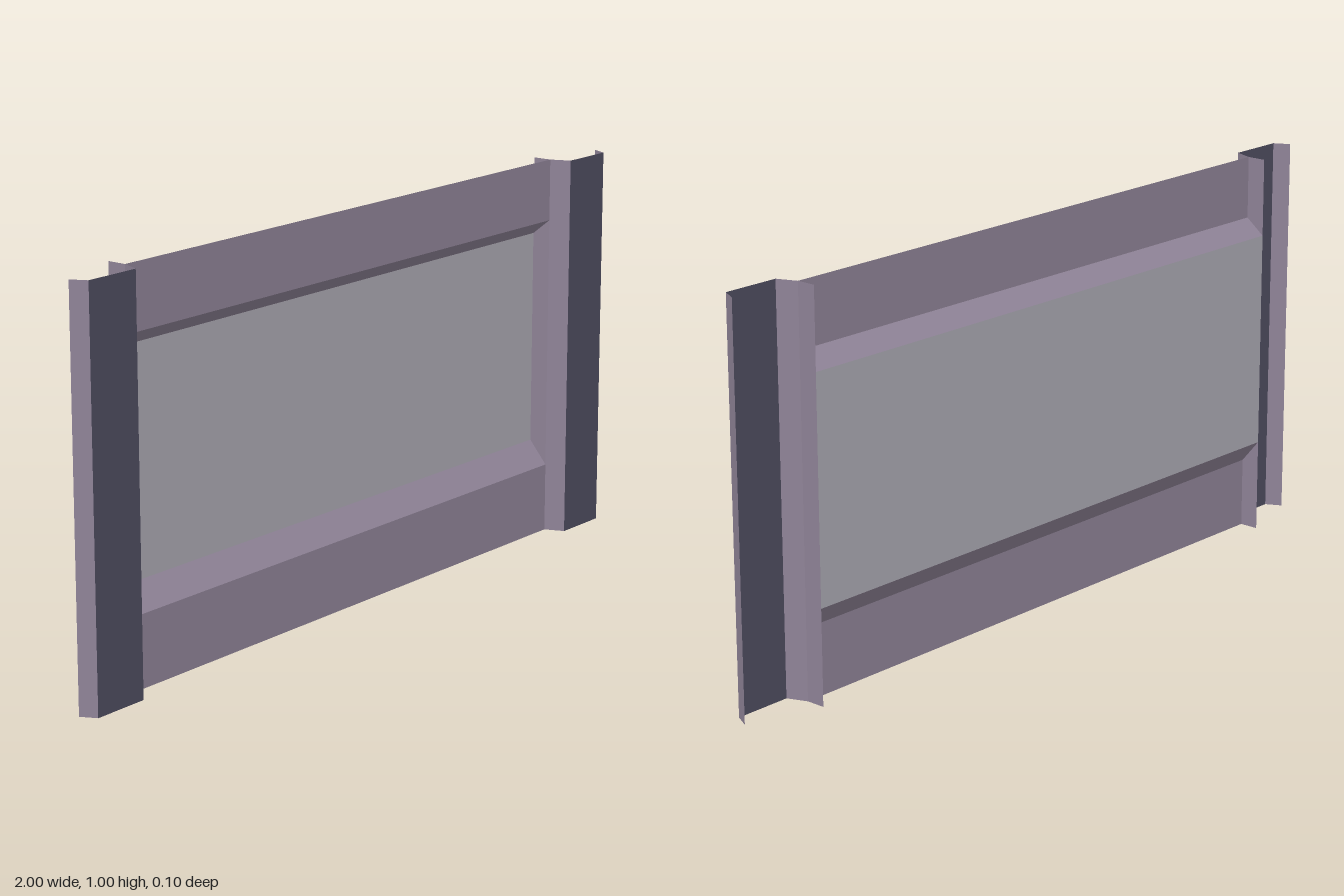
import * as THREE from 'three';

const mat = (name, color) => {
  const m = new THREE.MeshStandardMaterial({ color, side: THREE.DoubleSide });
  m.name = name;
  return m;
};

// Folded sheet: sweeps a polyline of [x, y, z] points along an offset vector, with sharp folds
function foldedSheet(name, points, offset, material) {
  const pos = [];
  for (let i = 0; i < points.length - 1; i++) {
    const a = points[i], b = points[i + 1];
    const c = b.map((v, k) => v + offset[k]);
    const d = a.map((v, k) => v + offset[k]);
    pos.push(...a, ...b, ...c, ...a, ...c, ...d);
  }
  const geo = new THREE.BufferGeometry();
  geo.setAttribute('position', new THREE.Float32BufferAttribute(pos, 3));
  geo.computeVertexNormals();
  const mesh = new THREE.Mesh(geo, material);
  mesh.name = name;
  return mesh;
}

export function createModel() {
  const metal = mat('mauve metal', 0x8f8397);
  const glass = mat('grey glass', 0xaba9b2);
  const dark = mat('dark slate', 0x4f4d60);

  const halfWidth = 0.81, depth = 0.05;
  const group = new THREE.Group();
  group.name = 'windowWall';

  // Wall bands above and below the window, each folding back to the glass
  const across = [2 * halfWidth, 0, 0];
  const bands = {
    lowerWall: [[1e-4, 0], [0.18, 0], [0.24, -depth]],
    upperWall: [[0.8, -depth], [0.84, 0], [1, 0]],
  };
  for (const [name, profile] of Object.entries(bands)) {
    const points = profile.map(([y, z]) => [-halfWidth, y, z]).reverse();
    group.add(foldedSheet(name, points, across, metal));
  }

  // Recessed pane
  group.add(foldedSheet('windowPane',
    [[-halfWidth, 0.8, -depth], [-halfWidth, 0.24, -depth]], across, glass));

  // Side pillars: dark face, splayed sides and a fin running behind the wall
  const up = [0, 1, 0];
  for (const [side, s] of [['left', 1], ['right', -1]]) {
    const pillar = new THREE.Group();
    pillar.name = side + 'Pillar';
    const sheet = (name, profile, material) => {
      const points = profile.map(([x, z]) => [s * x, 0, z]);
      if (s < 0) points.reverse();
      pillar.add(foldedSheet(name, points, up, material));
    };
    sheet('innerFlange', [[halfWidth, -depth], [halfWidth, 0], [0.83, depth]], metal);
    sheet('pillarFace', [[0.83, depth], [0.98, depth]], dark);
    sheet('outerFlange', [[0.98, depth], [1, 0.01]], metal);
    group.add(pillar);
  }
  return group;
}
